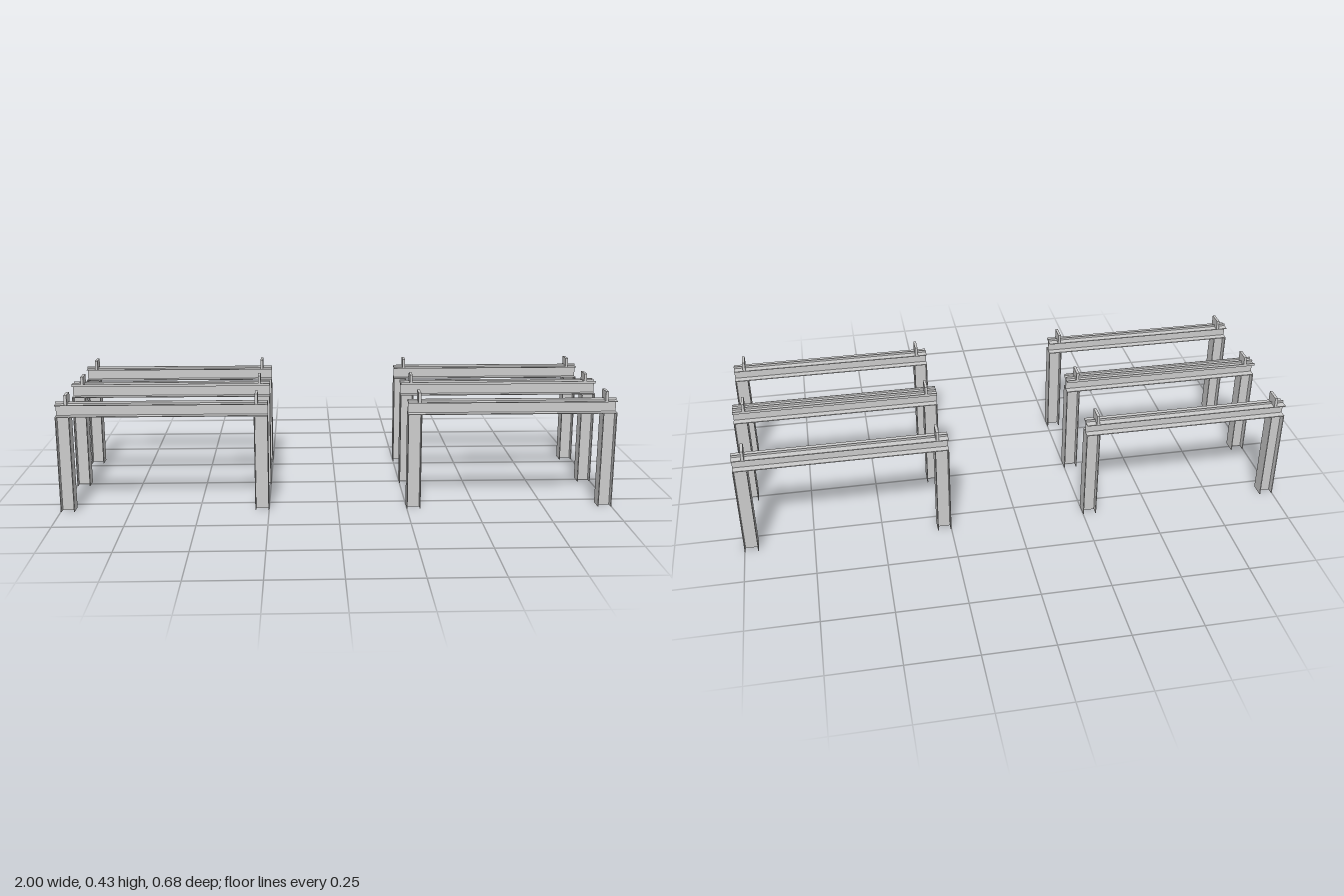
import * as THREE from 'three';

const W = 0.054;      // flange width
const T = 0.003;      // flange thickness
const WEB = 0.004;    // web thickness
const LEG_H = 0.35, SPAN = 0.75, LEG_D = 0.05, BEAM_TOP = 0.395;

const material = new THREE.MeshStandardMaterial({ color: 0xcccccc });

function box(name, sx, sy, sz, x, y, z) {
  const mesh = new THREE.Mesh(new THREE.BoxGeometry(sx, sy, sz), material);
  mesh.name = name;
  mesh.position.set(x, y, z);
  return mesh;
}

// Upright H-section column with its flanges facing along x
function column(x) {
  const g = new THREE.Group();
  g.name = 'column';
  for (const s of [-1, 1])
    g.add(box('columnFlange', T, LEG_H, W, s * (LEG_D - T) / 2, LEG_H / 2, 0));
  g.add(box('columnWeb', LEG_D - 2 * T, LEG_H, WEB, 0, LEG_H / 2, 0));
  g.position.x = x;
  return g;
}

// Horizontal I-section beam with a low guide rib along the top
function beam(withLips) {
  const g = new THREE.Group();
  g.name = 'beam';
  g.add(box('bottomFlange', SPAN, T, W, 0, LEG_H + T / 2, 0));
  g.add(box('topFlange', SPAN, T, W, 0, BEAM_TOP - T / 2, 0));
  const webH = BEAM_TOP - LEG_H - 2 * T;
  g.add(box('beamWeb', SPAN, webH, WEB, 0, LEG_H + T + webH / 2, 0));
  g.add(box('guideRib', SPAN, 0.008, 0.003, 0, BEAM_TOP + 0.004, 0));
  if (withLips)
    for (const s of [-1, 1])
      g.add(box('edgeLip', SPAN, 0.007, 0.002, 0, BEAM_TOP + 0.0035, s * (W / 2 - 0.001)));
  return g;
}

// One portal: two columns, a beam and two stop plates
function portal(x, z) {
  const g = new THREE.Group();
  g.name = 'portalFrame';
  for (const s of [-1, 1]) {
    g.add(column(s * (SPAN - LEG_D) / 2));
    g.add(box('stopPlate', 0.01, 0.036, W, s * 0.335, BEAM_TOP + 0.018, 0));
  }
  g.add(beam(z === 0));
  g.position.set(x, 0, z);
  return g;
}

export function createModel() {
  const model = new THREE.Group();
  model.name = 'steelPortalFrames';
  for (const x of [-0.625, 0.625])
    for (const z of [-0.311, 0, 0.311]) model.add(portal(x, z));
  return model;
}
